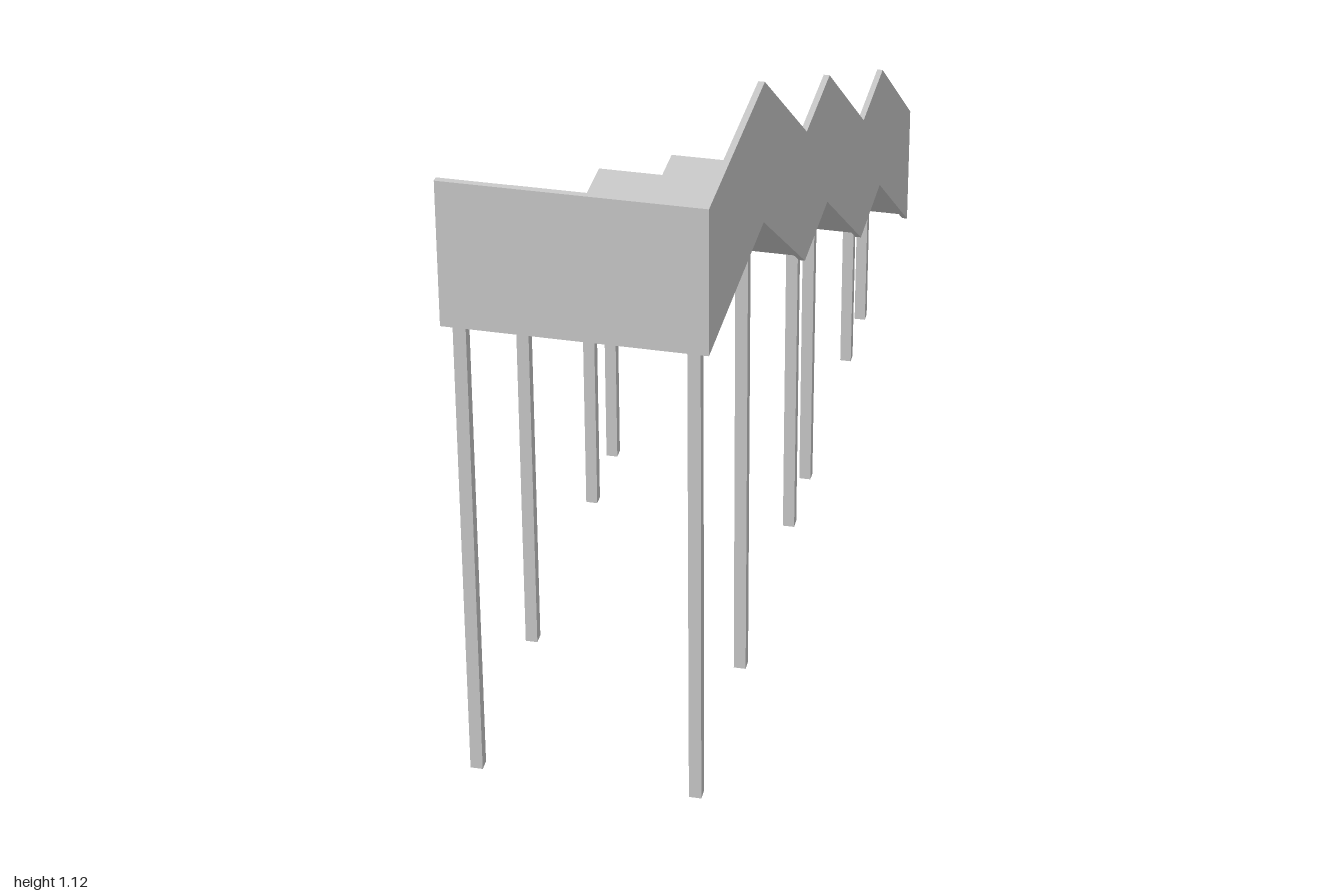
import * as THREE from 'three';

const material = new THREE.MeshStandardMaterial({ color: 0xcccccc, flatShading: true });

// Underside of the ramp as [z, y], from the high platform down to the ground
const PROFILE = [
  [1, 0.867], [0.576, 0.867], [0.198, 0.581], [-0.019, 0.581],
  [-0.403, 0.293], [-0.618, 0.293], [-1, 0.006],
];
const LEFT = 0.2107, RIGHT = -0.2137, THICK = 0.0107, RAIL = 0.256;

// Profile raised by t along its mitred normals; the two ends stay on z = 1 and z = -1
const raised = (t) => PROFILE.map(([z, y], i) => {
  if (i === 0) return [z, y + t];
  if (i === PROFILE.length - 1) return [z, y + t * 1.25];
  return [z - t * 0.335, y + t];
});

// Solid between two [z, y] lines, extruded across x
function band(name, lower, upper, x0, x1) {
  const outline = [...lower, ...[...upper].reverse()].map(([z, y]) => new THREE.Vector2(-z, y));
  const geometry = new THREE.ExtrudeGeometry(new THREE.Shape(outline), { depth: x1 - x0, bevelEnabled: false });
  geometry.rotateY(Math.PI / 2).translate(x0, 0, 0);
  const mesh = new THREE.Mesh(geometry, material);
  mesh.name = name;
  return mesh;
}

function box(name, w, h, d, x, y, z) {
  const mesh = new THREE.Mesh(new THREE.BoxGeometry(w, h, d), material);
  mesh.name = name;
  mesh.position.set(x, y, z);
  return mesh;
}

export function createModel() {
  const model = new THREE.Group();
  model.name = 'steppedRamp';

  // Thin walking surface: platform, slopes and landings
  model.add(band('deck', raised(0.007), raised(0.017), RIGHT, LEFT - THICK));

  // Solid parapet along the left side
  model.add(band('sideWall', PROFILE, PROFILE.map(([z, y]) => [z, y + RAIL]), LEFT - THICK, LEFT));

  // Parapet closing the high end
  model.add(box('endWall', LEFT - RIGHT, RAIL, THICK,
    (LEFT + RIGHT) / 2, 0.867 + RAIL / 2, 1 - THICK / 2));

  // Pairs of square posts under the platform and both landings
  const posts = new THREE.Group();
  posts.name = 'posts';
  const rows = [[0.97, 0.874], [0.607, 0.874], [0.163, 0.588], [0.002, 0.588], [-0.429, 0.3], [-0.592, 0.3]];
  for (const [z, h] of rows) {
    for (const x of [-0.189, 0.183]) posts.add(box('post', 0.021, h, 0.021, x, h / 2, z));
  }
  model.add(posts);

  return model;
}
